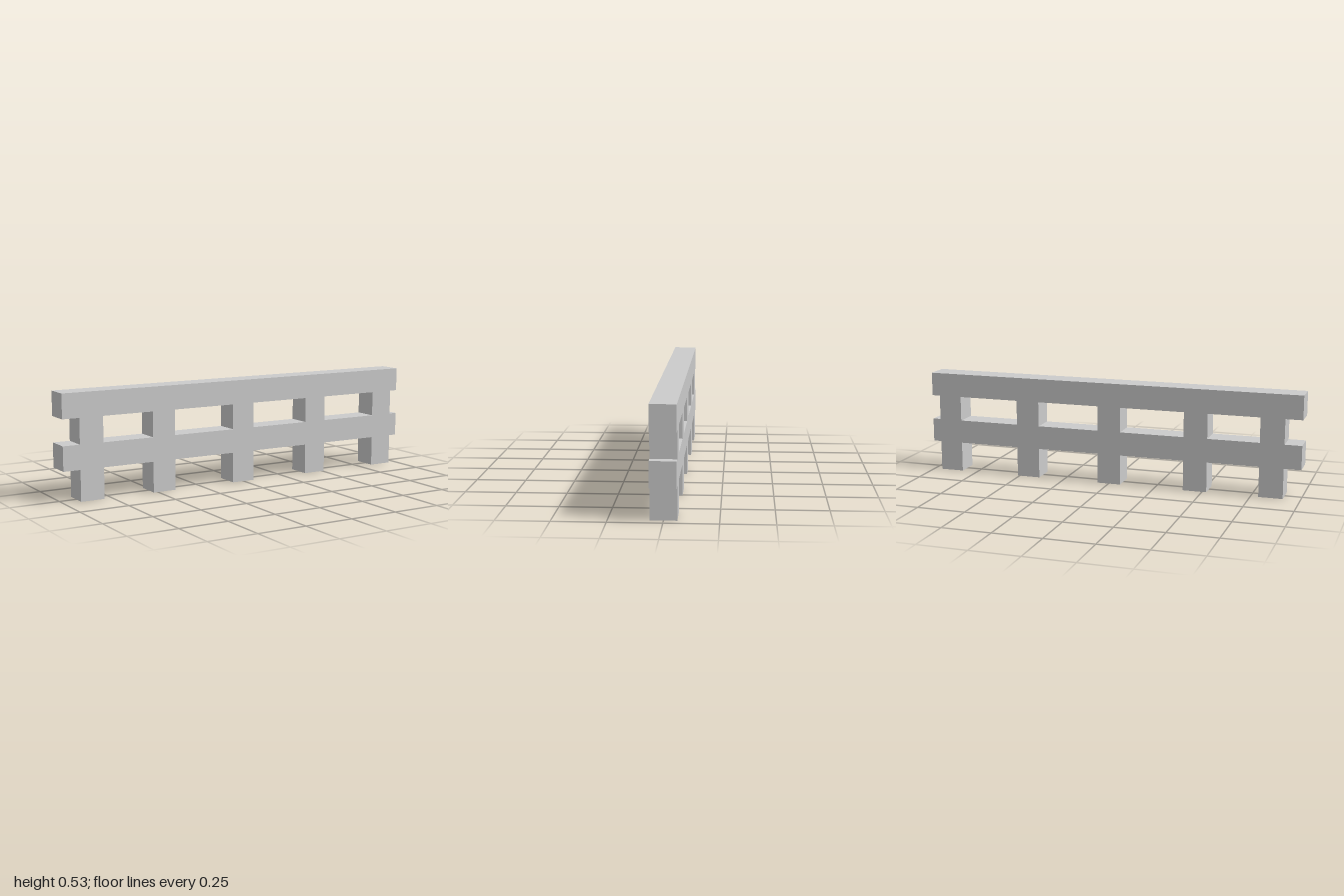
import * as THREE from 'three';

const T = 0.123; // square section shared by rails and posts
const RAIL_BOTTOMS = [0.156, 0.408];
const POST_X = [-0.851, -0.461, -0.001, 0.449, 0.896];

export function createModel() {
  const fence = new THREE.Group();
  fence.name = 'fence';
  const material = new THREE.MeshStandardMaterial({ color: 0xcccccc, flatShading: true });

  // Box standing on y0 and reaching y1
  function beam(name, width, y0, y1, x, parent) {
    const mesh = new THREE.Mesh(new THREE.BoxGeometry(width, y1 - y0, T), material);
    mesh.position.set(x, (y0 + y1) / 2, 0);
    mesh.name = name;
    parent.add(mesh);
  }

  // Two full-length rails
  const [low, high] = RAIL_BOTTOMS;
  beam('lowerRail', 2, low, low + T, 0, fence);
  beam('upperRail', 2, high, high + T, 0, fence);

  // Posts flush with the rails, built as the foot and the piece between the rails
  POST_X.forEach((x, i) => {
    const post = new THREE.Group();
    post.name = `post${i + 1}`;
    beam('postFoot', T, 0, low, x, post);
    beam('postMiddle', T, low + T, high, x, post);
    fence.add(post);
  });

  return fence;
}
